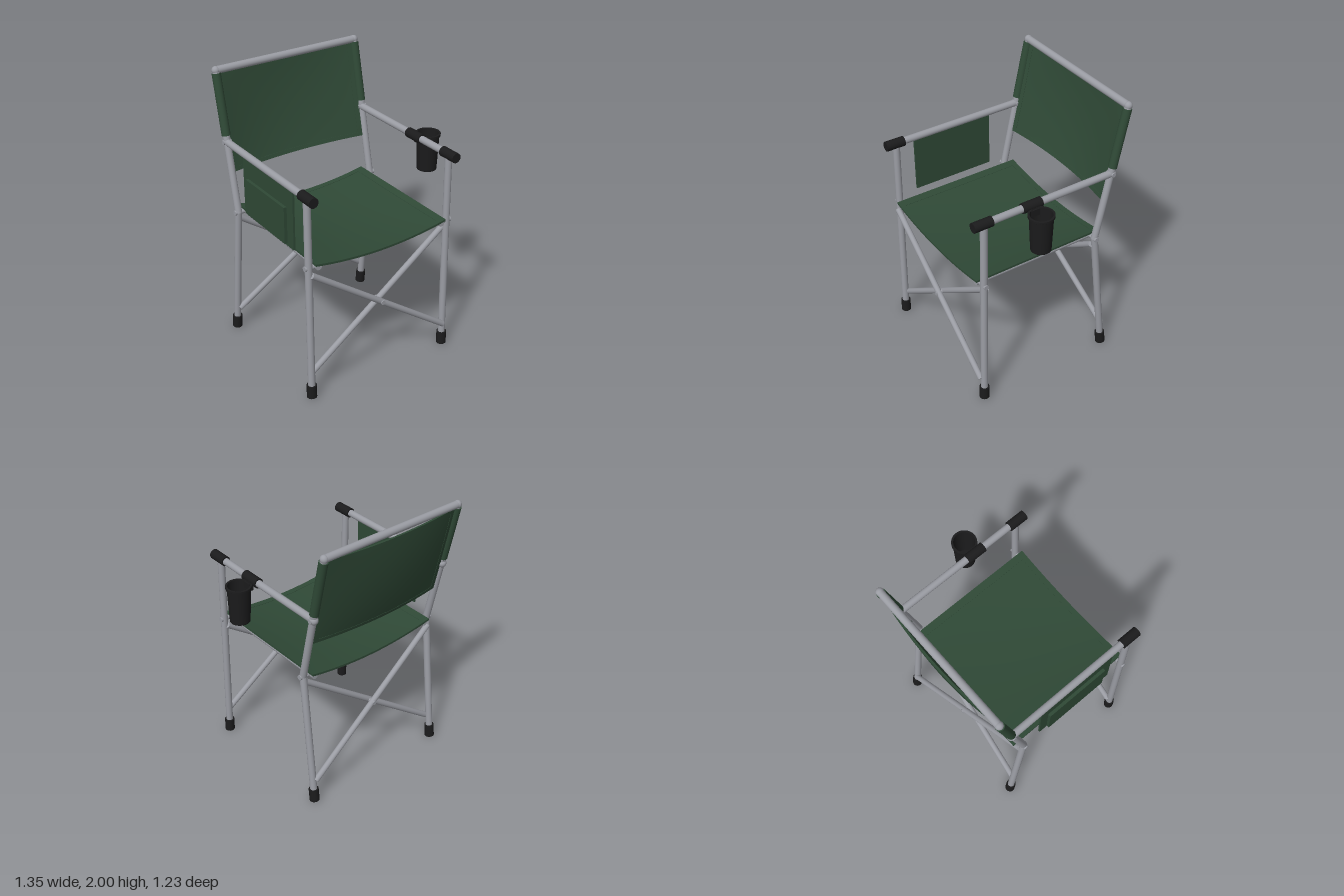
import * as THREE from 'three';

const CX = -0.082;   // middle of the frame
const HALF = 0.555;  // frame half width
const R = 0.025;     // main tube radius

export function createModel() {
  const model = new THREE.Group();
  model.name = 'foldingChair';
  const make = (name, hex) => {
    const m = new THREE.MeshStandardMaterial({ color: hex });
    m.name = name;
    return m;
  };
  const metal = make('greyMetal', 0x9a9ca3);
  const fabric = make('greenFabric', 0x2f4936);
  const black = make('blackPlastic', 0x1b1b1c);

  const add = (name, geometry, material, x = 0, y = 0, z = 0) => {
    const mesh = new THREE.Mesh(geometry, material);
    mesh.name = name;
    mesh.position.set(x, y, z);
    model.add(mesh);
    return mesh;
  };

  // Straight round bar between two points
  const bar = (name, a, b, r, material = metal) => {
    const p = new THREE.Vector3(...a), q = new THREE.Vector3(...b);
    const d = q.clone().sub(p);
    const mesh = add(name, new THREE.CylinderGeometry(r, r, d.length(), 20), material);
    mesh.position.copy(p).add(q).multiplyScalar(0.5);
    mesh.quaternion.setFromUnitVectors(new THREE.Vector3(0, 1, 0), d.normalize());
    return mesh;
  };
  const ball = (name, p, r) => add(name, new THREE.SphereGeometry(r, 20, 14), metal, ...p);

  // Slope lines of the legs and back posts
  const frontZ = y => 0.556 - 0.015 * y;
  const rearZ = y => -0.46 + 0.11 * y;
  const postZ = y => -0.35 - 0.221 * (y - 1);

  // Side frames, mirrored about the middle
  for (const s of [-1, 1]) {
    const x = CX + s * HALF;
    const inner = CX + s * 0.495;
    const outer = CX + s * 0.587;
    bar('frontLeg', [x, 0.03, frontZ(0.03)], [x, 1.49, frontZ(1.49)], R);
    bar('rearLeg', [x, 0.03, rearZ(0.03)], [x, 1, rearZ(1)], R);
    bar('backPost', [x, 1, postZ(1)], [x, 1.97, postZ(1.97)], R);
    ball('rearKnee', [x, 1, rearZ(1)], R);
    ball('topCorner', [x, 1.97, postZ(1.97)], 0.028);
    bar('armrest', [x, 1.49, 0.59], [x, 1.49, -0.465], R);
    ball('armrestEnd', [x, 1.49, -0.465], 0.03);
    bar('armrestGrip', [x, 1.49, 0.614], [x, 1.49, 0.476], 0.035, black);
    bar('frontFoot', [x, 0, frontZ(0)], [x, 0.095, frontZ(0.095)], 0.035, black);
    bar('rearFoot', [x, 0, rearZ(0)], [x, 0.095, rearZ(0.095)], 0.035, black);
    bar('seatRail', [inner, 1, 0.57], [inner, 1, -0.4], 0.022);
    bar('frontSeatPin', [inner, 1, 0.541], [outer, 1, 0.541], 0.018);
    bar('rearSeatPin', [inner, 1, -0.35], [outer, 1, -0.35], 0.018);
    bar('armrestPin', [x - s * 0.03, 1.49, -0.46], [outer, 1.49, -0.46], 0.016);
    bar('backSleeve', [x, 1.535, postZ(1.535)], [x, 1.95, postZ(1.95)], 0.031, fabric);
  }
  bar('topRail', [CX - HALF, 1.97, postZ(1.97)], [CX + HALF, 1.97, postZ(1.97)], 0.026);

  // Crossed braces between the legs, front and rear
  const brace = (name, zAt, out) => {
    for (const s of [-1, 1]) {
      const dz = -s * 0.021 * out;
      bar(name, [CX + s * 0.545, 0.95, zAt(0.95) + dz * out * Math.sign(out)],
        [CX - s * 0.545, 0.17, zAt(0.17) + dz * out * Math.sign(out)], 0.021);
    }
    bar(name + 'Pin', [CX, 0.56, zAt(0.56) - 0.046], [CX, 0.56, zAt(0.56) + 0.046], 0.016);
  };
  brace('frontBrace', frontZ, 1);
  brace('rearBrace', rearZ, -1);

  // Cloth slab over part of a unit square (u, v from -1 to 1), bent by a rule
  const cloth = (name, u0, u1, v0, v1, thick, rule) => {
    const g = new THREE.BoxGeometry(u1 - u0, thick, v1 - v0, 24, 1, 16);
    g.translate((u0 + u1) / 2, 0, (v0 + v1) / 2);
    const pos = g.attributes.position;
    for (let i = 0; i < pos.count; i++) {
      pos.setXYZ(i, ...rule(pos.getX(i), pos.getY(i), pos.getZ(i)));
    }
    g.computeVertexNormals();
    return add(name, g, fabric);
  };
  // Panel with slightly raised hems along its four edges
  const hemmed = (name, rule, hu, hv) => {
    cloth(name, -1, 1, -1, 1, 0.01, rule);
    for (const s of [-1, 1]) {
      const a = s < 0 ? -1.001 : 1 - hu, b = s < 0 ? -1 + hu : 1.001;
      const c = s < 0 ? -1.001 : 1 - hv, d = s < 0 ? -1 + hv : 1.001;
      cloth(name + 'SideHem', a, b, -1, 1, 0.015, rule);
      cloth(name + 'EndHem', -1, 1, c, d, 0.015, rule);
    }
  };

  // Sagging seat
  hemmed('seat', (u, t, v) => {
    const sag = (1 - u * u) * (0.05 + 0.018 * (1 - v * v));
    return [CX + u * 0.521, 1.022 + t - sag, 0.083 + v * 0.493];
  }, 0.1, 0.08);

  // Backrest bowed to the rear
  hemmed('backrest', (u, t, v) => {
    const y = 1.617 - v * 0.335;
    const bow = (1 - u * u) * (0.047 + 0.022 * (1 - v * v));
    return [CX + u * 0.55, y, postZ(y) - bow + t];
  }, 0.1, 0.08);

  // Hanging side bag with outer pocket
  const bagX = CX - HALF;
  add('sideBag', new THREE.BoxGeometry(0.014, 0.42, 0.615), fabric, bagX - 0.008, 1.27, 0.085);
  add('sidePocket', new THREE.BoxGeometry(0.025, 0.26, 0.48), fabric, bagX - 0.024, 1.21, 0.08);

  // Cup holder clipped to the left armrest
  const armX = CX + HALF;
  const cup = [
    [0, 0], [0.069, 0], [0.08, 0.255], [0.088, 0.255], [0.088, 0.27],
    [0.074, 0.27], [0.063, 0.012], [0, 0.012],
  ];
  // Doubled points keep the profile corners crisp
  const profile = cup.flatMap(([x, y], i) => {
    const p = new THREE.Vector2(x, y);
    if (i === 0 || i === cup.length - 1) return [p];
    const prev = new THREE.Vector2(...cup[i - 1]), next = new THREE.Vector2(...cup[i + 1]);
    return [p.clone().lerp(prev, 0.03), p, p.clone().lerp(next, 0.03)];
  });
  add('cupHolder', new THREE.LatheGeometry(profile, 40), black, 0.584, 1.215, 0.177);
  bar('cupClip', [armX, 1.49, 0.105], [armX, 1.49, 0.249], 0.035, black);
  add('cupBracket', new THREE.BoxGeometry(0.03, 0.05, 0.07), black, 0.505, 1.455, 0.177);

  return model;
}
